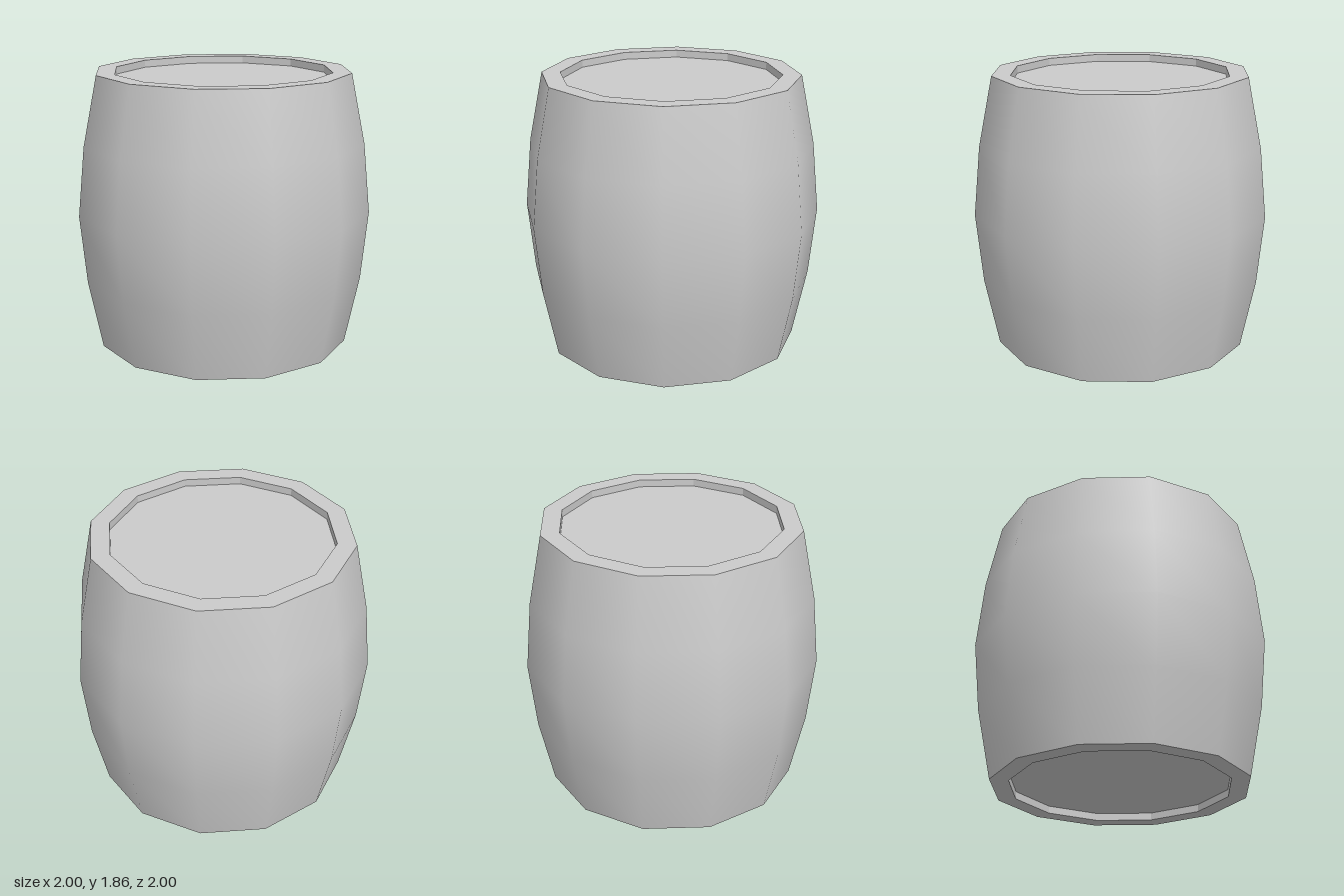
import * as THREE from 'three';

const SIDES = 12;
const HEIGHT = 1.86;
const RIM = 0.86;      // outer radius at both ends
const INNER = 0.735;   // radius of the recessed heads
const DEPTH = 0.05;    // how far the heads sit below the rims

// Revolves a profile of [radius, height] pairs, listed from bottom to top
function revolve(name, profile, flatShading) {
  const points = profile.map(([r, y]) => new THREE.Vector2(r, y));
  const mesh = new THREE.Mesh(
    new THREE.LatheGeometry(points, SIDES),
    new THREE.MeshStandardMaterial({ color: 0xcccccc, flatShading })
  );
  mesh.name = name;
  return mesh;
}

export function createModel() {
  const barrel = new THREE.Group();
  barrel.name = 'barrel';

  // Bulging outer wall
  barrel.add(revolve('staves', [
    [RIM, 0], [0.955, HEIGHT * 0.25], [1, HEIGHT * 0.5], [0.955, HEIGHT * 0.75], [RIM, HEIGHT],
  ], false));

  // Flat rim, short inner wall and recessed head at each end
  barrel.add(revolve('topHead', [
    [RIM, HEIGHT], [INNER, HEIGHT], [INNER, HEIGHT - DEPTH], [0, HEIGHT - DEPTH],
  ], true));
  barrel.add(revolve('bottomHead', [
    [0, DEPTH], [INNER, DEPTH], [INNER, 0], [RIM, 0],
  ], true));

  return barrel;
}
